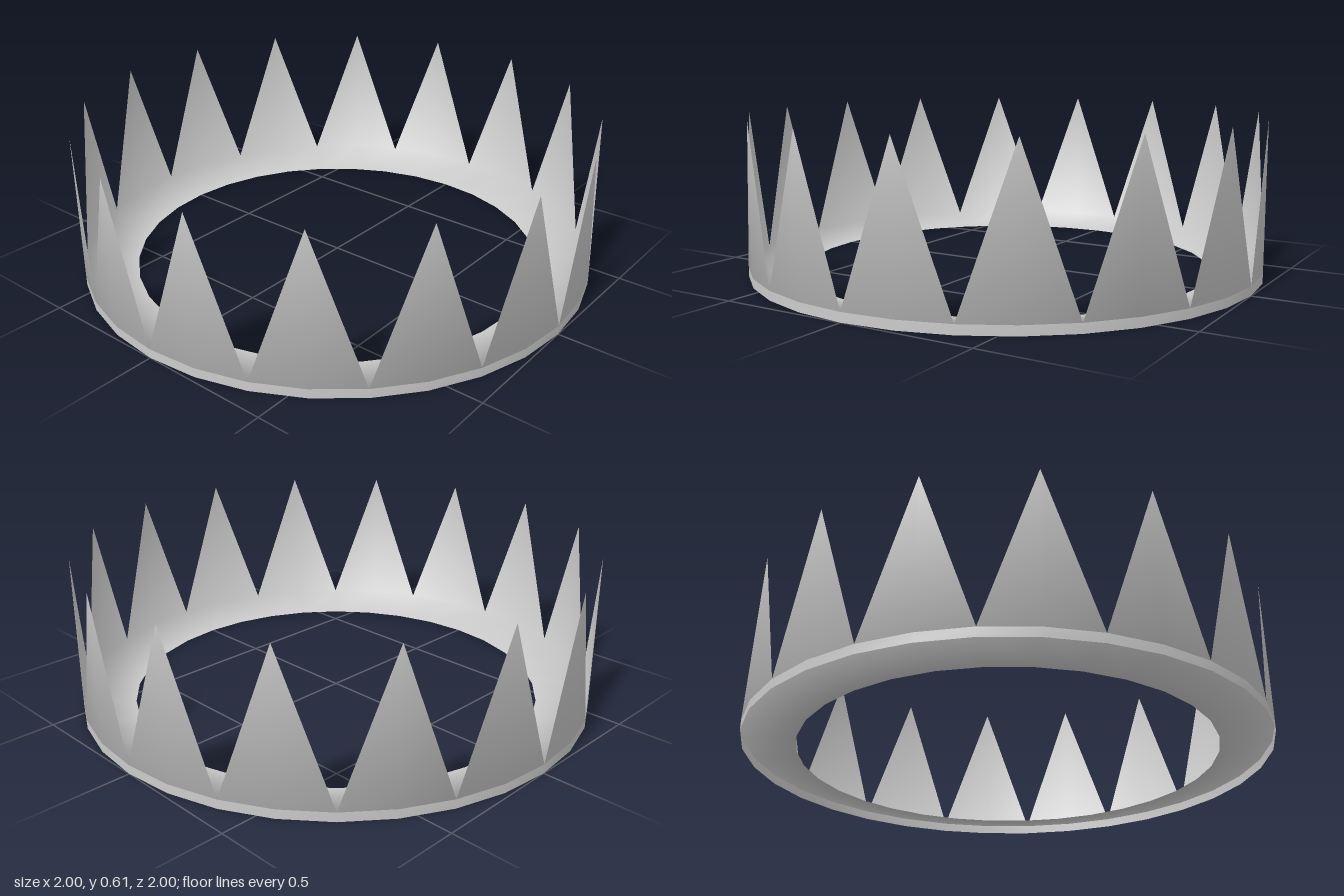
import * as THREE from 'three';

const SEGMENTS = 32;      // two segments per spike
const OUTER = 1, INNER = 0.8;
const RIM = 0.035, PEAK = 0.605;

const material = new THREE.MeshStandardMaterial({ color: 0xcccccc, side: THREE.DoubleSide });

// Builds a smooth sheet round the axis from rows of (radius, height) rules.
function ringSheet(name, rows) {
  const positions = [], index = [];
  for (const row of rows) {
    for (let i = 0; i < SEGMENTS; i++) {
      const a = (i / SEGMENTS) * Math.PI * 2;
      const [r, y] = row(i);
      positions.push(r * Math.cos(a), y, r * Math.sin(a));
    }
  }
  for (let k = 0; k < rows.length - 1; k++) {
    for (let i = 0; i < SEGMENTS; i++) {
      const j = (i + 1) % SEGMENTS;
      const a = k * SEGMENTS + i, b = k * SEGMENTS + j;
      const c = a + SEGMENTS, d = b + SEGMENTS;
      // Where the upper row meets the lower one (a valley), one triangle is enough
      const meets = (n) => rows[k](n)[0] === rows[k + 1](n)[0] && rows[k](n)[1] === rows[k + 1](n)[1];
      if (meets(i)) index.push(a, b, d);
      else if (meets(j)) index.push(a, b, c);
      else index.push(a, b, d, a, d, c);
    }
  }
  const geometry = new THREE.BufferGeometry();
  geometry.setAttribute('position', new THREE.Float32BufferAttribute(positions, 3));
  geometry.setIndex(index);
  geometry.computeVertexNormals();
  const mesh = new THREE.Mesh(geometry, material);
  mesh.name = name;
  return mesh;
}

export function createModel() {
  const group = new THREE.Group();
  group.name = 'spikedRing';

  const inner = () => [INNER, 0];
  const rim = () => [OUTER, RIM];
  const tips = (i) => [OUTER, i % 2 ? PEAK : RIM];

  // Shallow sloping brim that turns up into the upright spikes
  group.add(ringSheet('brimAndSpikes', [inner, rim, tips]));

  // Low outer band below the spikes
  group.add(ringSheet('outerBand', [rim, () => [OUTER, 0]]));

  return group;
}
